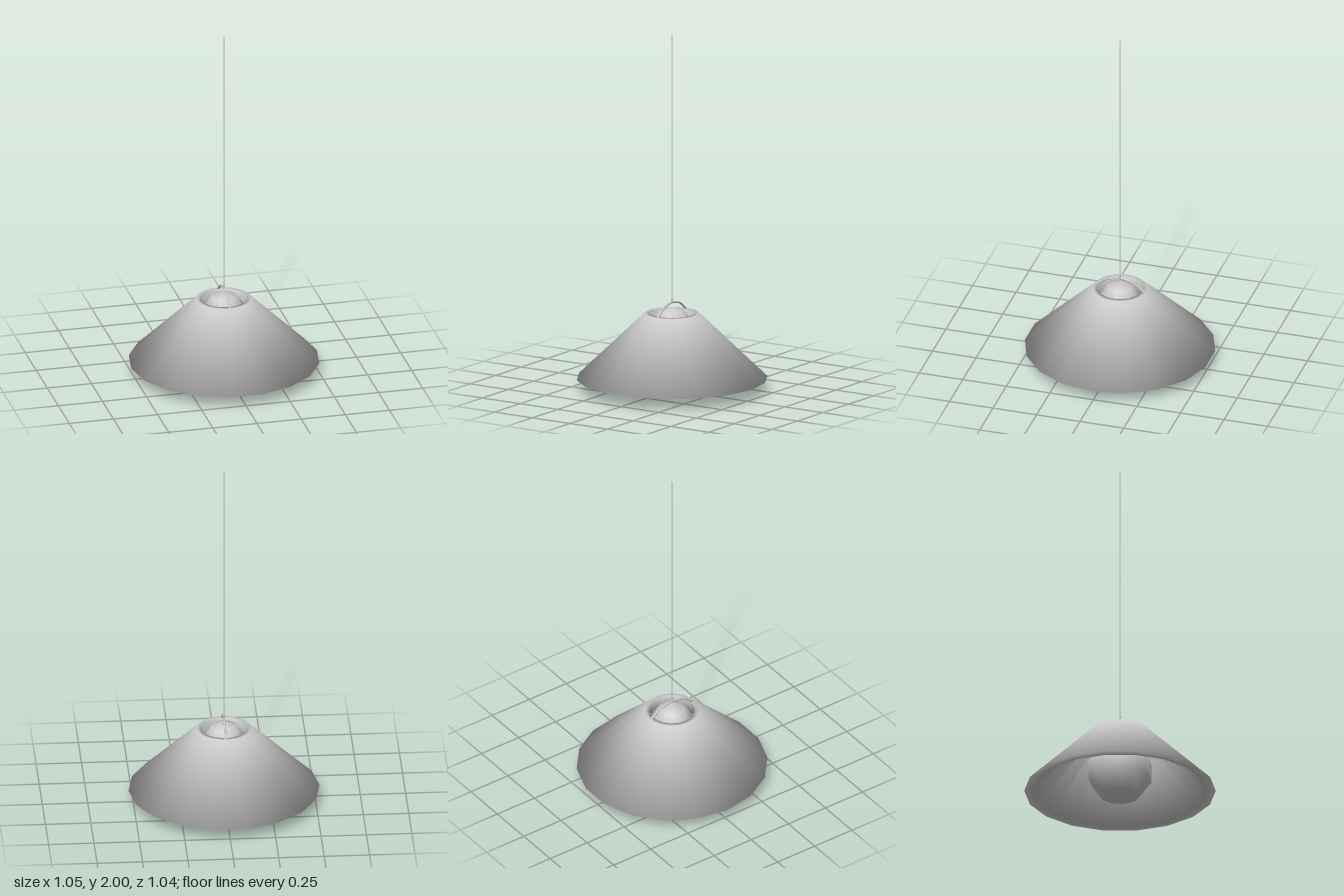
import * as THREE from 'three';

const material = new THREE.MeshStandardMaterial({ color: 0xcccccc });

function addMesh(group, name, geometry, y = 0) {
  const mesh = new THREE.Mesh(geometry, material);
  mesh.name = name;
  mesh.position.y = y;
  group.add(mesh);
}

// Closed lathe of [radius, y] pairs, with normals smoothed evenly around the profile
function smoothRing(profile, sides) {
  const points = profile.map(([r, y]) => new THREE.Vector2(r, y));
  const geometry = new THREE.LatheGeometry(points, sides, Math.PI / 2);
  const n = profile.length;
  const edges = [];
  for (let i = 0; i < n - 1; i++) {
    const [r0, y0] = profile[i], [r1, y1] = profile[i + 1];
    edges.push(new THREE.Vector2(y1 - y0, r0 - r1).normalize());
  }
  const { position, normal } = geometry.attributes;
  for (let i = 0; i < position.count; i++) {
    const j = i % n;
    const before = edges[(j + n - 2) % (n - 1)], after = edges[j % (n - 1)];
    const sum = before.clone().add(after).normalize();
    const angle = Math.atan2(position.getZ(i), position.getX(i));
    normal.setXYZ(i, sum.x * Math.cos(angle), sum.y, sum.x * Math.sin(angle));
  }
  return geometry;
}

export function createModel() {
  const lamp = new THREE.Group();
  lamp.name = 'pendantLamp';

  // Thick conical shade, open at both ends
  addMesh(lamp, 'shade', smoothRing([
    [0.472, 0.067], [0.526, 0.067], [0.15, 0.433], [0.125, 0.433], [0.472, 0.067],
  ], 18));

  // Large globe below, with a smaller one reaching out of the top opening
  addMesh(lamp, 'bulb', new THREE.SphereGeometry(0.183, 10, 5), 0.183);
  addMesh(lamp, 'upperBulb', new THREE.SphereGeometry(0.12, 12, 5), 0.35);

  // Arched bracket spanning the top opening
  const arch = new THREE.CatmullRomCurve3([
    [-0.14, 0.43], [-0.075, 0.479], [0, 0.495], [0.075, 0.479], [0.14, 0.43],
  ].map(([z, y]) => new THREE.Vector3(0, y, z)), false, 'catmullrom', 0.15);
  addMesh(lamp, 'bracket', new THREE.TubeGeometry(arch, 12, 0.006, 8));

  // Small collar and long cord
  addMesh(lamp, 'cordCollar', new THREE.CylinderGeometry(0.006, 0.006, 0.03, 8), 0.502);
  addMesh(lamp, 'cord', new THREE.CylinderGeometry(0.003, 0.003, 1.5, 6), 1.25);

  return lamp;
}
